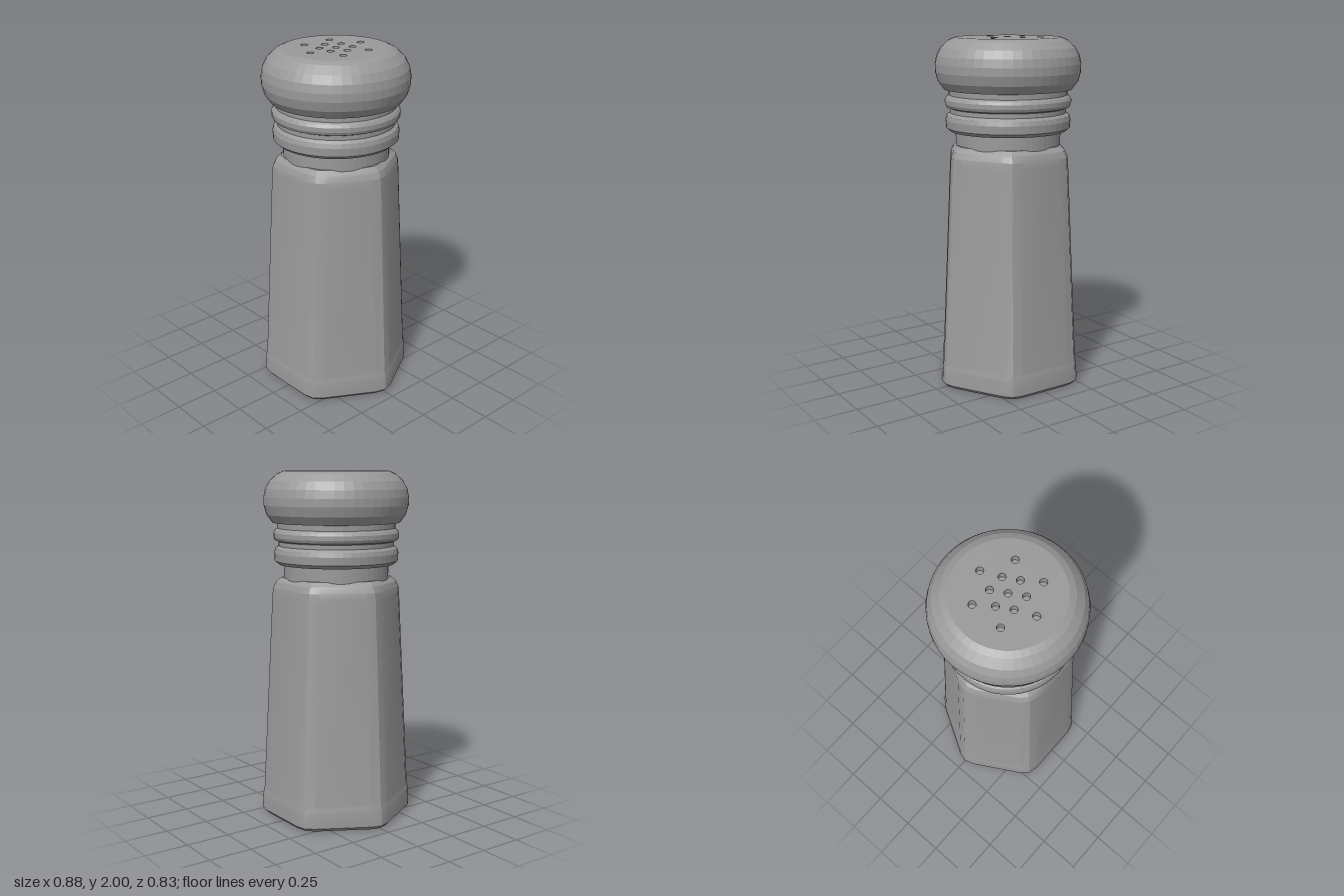
import * as THREE from 'three';
import { toCreasedNormals } from 'three/addons/utils/BufferGeometryUtils.js';

const SEGMENTS = 48;
const HOLE_RADIUS = 0.02;
const HOLE_DEPTH = 0.04;
const TOP = 2;

function faceted(geometry) {
  const g = geometry.toNonIndexed();
  g.computeVertexNormals();
  return g;
}

function lathe(profile) {
  return faceted(new THREE.LatheGeometry(profile.map(([r, y]) => new THREE.Vector2(r, y)), SEGMENTS));
}

// Hexagon with corners on the x axis, each corner eased into two short facets
function hexSection(apothem) {
  const radius = apothem / Math.cos(Math.PI / 6);
  const ease = 0.063, points = [];
  for (let k = 0; k < 6; k++) {
    const a = k * Math.PI / 3;
    const x = radius * Math.cos(a), z = radius * Math.sin(a);
    const before = a - 2 * Math.PI / 3, after = a + 2 * Math.PI / 3;
    points.push([x + ease * Math.cos(before), z + ease * Math.sin(before)]);
    points.push([(radius - 0.016) * Math.cos(a), (radius - 0.016) * Math.sin(a)]);
    points.push([x + ease * Math.cos(after), z + ease * Math.sin(after)]);
  }
  return points;
}

// Tapered body lofted through sections of [height, apothem]
function bodyGeometry() {
  const sections = [[0, 0.378], [0.02, 0.396], [0.11, 0.393], [0.14, 0.386],
    [1.3, 0.333], [1.34, 0.329], [1.375, 0.315], [1.4, 0.288]];
  const n = 18, positions = [], index = [];
  for (const [y, apothem] of sections) {
    for (const [x, z] of hexSection(apothem)) positions.push(x, y, z);
  }
  const last = (sections.length - 1) * n;
  const bottom = positions.length / 3, top = bottom + 1;
  positions.push(0, 0, 0, 0, 1.4, 0);
  for (let i = 0; i < n; i++) {
    const next = (i + 1) % n;
    for (let j = 0; j < last; j += n) {
      const a = j + i, b = a + n, c = j + next, d = c + n;
      index.push(a, b, c, c, b, d);
    }
    index.push(bottom, i, next, top, last + next, last + i);
  }
  const g = new THREE.BufferGeometry();
  g.setAttribute('position', new THREE.Float32BufferAttribute(positions, 3));
  g.setIndex(index);
  return toCreasedNormals(g, 0.3);
}

// One centre hole, an inner ring of six and an outer ring of six
function holeCentres() {
  const centres = [[0, 0]];
  for (let k = 0; k < 6; k++) {
    const a = k * Math.PI / 3, b = a + Math.PI / 6;
    centres.push([0.092 * Math.cos(a), 0.092 * Math.sin(a)]);
    centres.push([0.184 * Math.cos(b), 0.184 * Math.sin(b)]);
  }
  return centres;
}

export function createModel() {
  const model = new THREE.Group();
  model.name = 'shaker';
  const grey = new THREE.MeshStandardMaterial({ color: 0x999999 });
  grey.name = 'grey';

  function add(name, geometry, parent = model) {
    const mesh = new THREE.Mesh(geometry, grey);
    mesh.name = name;
    parent.add(mesh);
    return mesh;
  }

  add('body', bodyGeometry());

  // Neck and ribbed collar
  add('neck', lathe([[0.3, 1.39], [0.3, 1.49]]));
  add('collar', lathe([
    [0.29, 1.475], [0.33, 1.475], [0.354, 1.495], [0.357, 1.54], [0.35, 1.565], [0.332, 1.58],
    [0.332, 1.605], [0.352, 1.613], [0.36, 1.63], [0.36, 1.655], [0.35, 1.67],
    [0.338, 1.68], [0.338, 1.72],
  ]));

  // Rounded cap
  const cap = new THREE.Group();
  cap.name = 'cap';
  model.add(cap);
  add('capDome', lathe([
    [0.33, 1.71], [0.365, 1.712], [0.398, 1.757], [0.413, 1.81], [0.413, 1.855],
    [0.404, 1.9], [0.38, 1.945], [0.336, 1.985], [0.3, TOP],
  ]), cap);

  // Flat top pierced by the pouring holes
  const disc = new THREE.Shape();
  disc.absarc(0, 0, 0.3, 0, Math.PI * 2, false);
  for (const [x, z] of holeCentres()) {
    const hole = new THREE.Path();
    hole.absarc(x, z, HOLE_RADIUS, 0, Math.PI * 2, true);
    disc.holes.push(hole);
  }
  const plate = add('capTop', new THREE.ShapeGeometry(disc, 24), cap);
  plate.rotation.x = -Math.PI / 2;
  plate.position.y = TOP;

  // Inward-facing hole walls with closed floors
  const wall = new THREE.LatheGeometry(
    [new THREE.Vector2(HOLE_RADIUS, 0), new THREE.Vector2(HOLE_RADIUS, -HOLE_DEPTH)], 24);
  const floor = new THREE.CircleGeometry(HOLE_RADIUS, 24).rotateX(-Math.PI / 2);
  for (const [x, z] of holeCentres()) {
    add('holeWall', wall, cap).position.set(x, TOP, z);
    add('holeFloor', floor, cap).position.set(x, TOP - HOLE_DEPTH, z);
  }
  return model;
}
